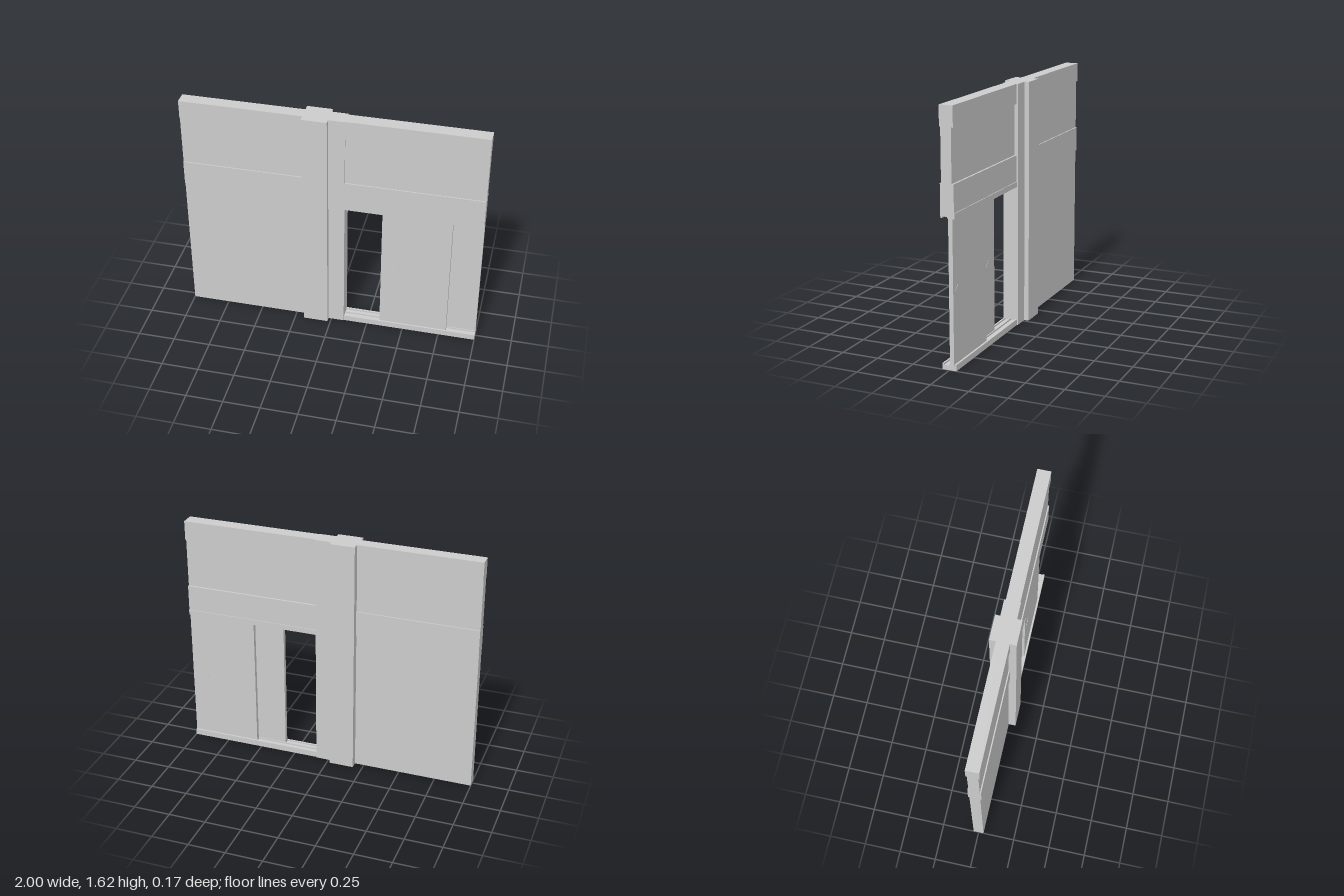
import * as THREE from 'three';

const grey = new THREE.MeshStandardMaterial({ color: 0xcccccc, flatShading: true });

export function createModel() {
  const group = new THREE.Group();
  group.name = 'slidingDoorWall';

  const add = (name, geometry) => {
    const mesh = new THREE.Mesh(geometry, grey);
    mesh.name = name;
    group.add(mesh);
    return mesh;
  };

  // Box given by its limits on each axis
  const box = (name, x0, x1, y0, y1, z0, z1) =>
    add(name, new THREE.BoxGeometry(x1 - x0, y1 - y0, z1 - z0)
      .translate((x0 + x1) / 2, (y0 + y1) / 2, (z0 + z1) / 2));

  // Cross-section of [z, y] points swept along x
  const sweep = (name, x0, x1, points) => {
    const shape = new THREE.Shape(points.map(([z, y]) => new THREE.Vector2(-z, y)));
    const geo = new THREE.ExtrudeGeometry(shape, { depth: x1 - x0, bevelEnabled: false });
    return add(name, geo.rotateY(Math.PI / 2).translate(x0, 0, 0));
  };

  const top = 1.625;

  // Pillar and door post
  box('pillar', -0.187, -0.02, 0, top, -0.085, 0.085);
  box('doorPost', -0.02, 0.088, 0, top, -0.053, 0.051);

  // Solid wall with a raised cap and a raised middle band
  const half = [[0.043, top], [0.043, 1.495], [0.035, 1.495], [0.035, 1.16],
    [0.043, 1.16], [0.043, 0.99], [0.035, 0.99], [0.035, 0]];
  const mirrored = half.map(([z, y]) => [-z, y]).reverse();
  sweep('solidWall', -1, -0.187, [...half, ...mirrored]);

  // Wall above the doors, with two guide grooves in its underside
  sweep('lintel', 0.088, 1, [
    [0.047, top], [0.047, 1.495], [0.039, 1.495], [0.039, 1.16], [0.047, 1.16], [0.047, 0.95],
    [0.036, 0.95], [0.036, 0.96], [0.003, 0.96], [0.003, 0.95],
    [-0.003, 0.95], [-0.003, 0.96], [-0.034, 0.96], [-0.034, 0.95],
    [-0.048, 0.95], [-0.048, 0.985], [-0.043, 0.985], [-0.043, 1.16],
    [-0.03, 1.16], [-0.03, 1.495], [-0.043, 1.495], [-0.043, top]]);

  // Sill with two tracks
  sweep('sill', 0.088, 1, [
    [0.047, 0], [0.047, 0.04], [0.036, 0.04], [0.036, 0.03], [0.003, 0.03], [0.003, 0.04],
    [-0.003, 0.04], [-0.003, 0.03], [-0.034, 0.03], [-0.034, 0.04], [-0.047, 0.04], [-0.047, 0]]);

  // Sliding doors
  box('frontDoor', 0.337, 0.8, 0.03, 0.96, 0.004, 0.034);
  box('backDoor', 0.537, 1, 0.03, 0.96, -0.032, -0.004);

  // Four-lobed finger plates on both faces of each door
  const lobes = new THREE.Shape();
  for (let i = 0; i < 4; i++) {
    const a = i * Math.PI / 2;
    lobes.absarc(0.02 * Math.cos(a), 0.02 * Math.sin(a), 0.021, a - 1.05, a + 1.05, false);
  }
  const handle = new THREE.ExtrudeGeometry(lobes, { depth: 0.003, bevelEnabled: false, curveSegments: 5 });
  handle.translate(0, 0, -0.0015);
  for (const [name, x, faces] of [['frontDoorHandle', 0.423, [0.034, 0.004]], ['backDoorHandle', 0.93, [-0.004, -0.032]]]) {
    for (const z of faces) add(name, handle).position.set(x, 0.495, z);
  }

  return group;
}
